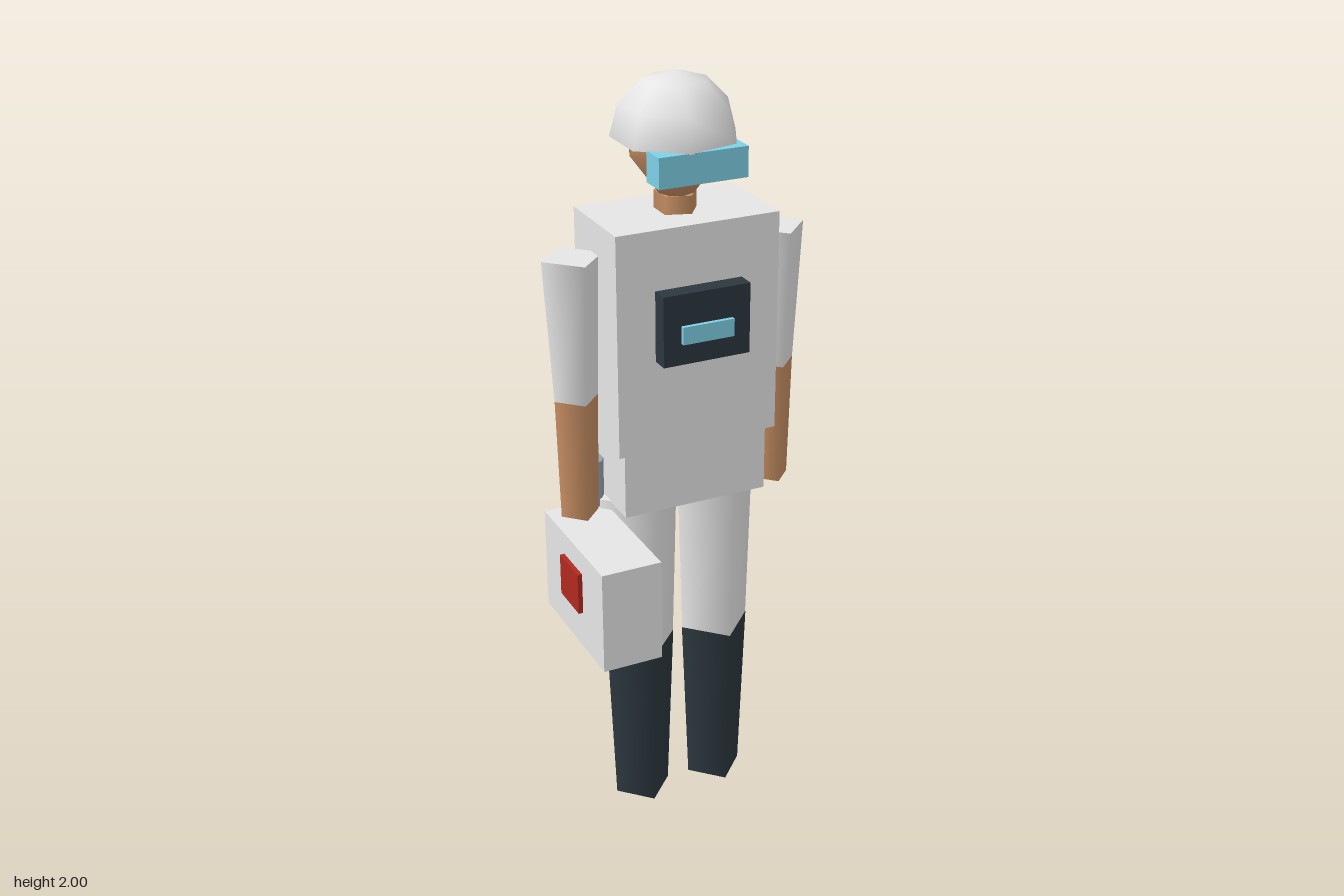
import * as THREE from 'three';

const CX = 0.005, CZ = -0.083; // body axis

function material(name, color, extra = {}) {
  const m = new THREE.MeshStandardMaterial({ color, ...extra });
  m.name = name;
  return m;
}

export function createModel() {
  const white = material('white', 0xe6e6e6);
  const navy = material('navy', 0x2c373e);
  const skin = material('skin', 0xc68e63);
  const cyan = material('cyan', 0x80d4ea);
  const steel = material('steel', 0x98a3ab);
  const red = material('red', 0xb02a20);

  const root = new THREE.Group();
  root.name = 'medic';

  const add = (name, geometry, mat) => {
    const mesh = new THREE.Mesh(geometry, mat);
    mesh.name = name;
    root.add(mesh);
    return mesh;
  };
  // box given by its extents on each axis
  const box = (name, mat, [x0, x1], [y0, y1], [z0, z1]) =>
    add(name, new THREE.BoxGeometry(x1 - x0, y1 - y0, z1 - z0), mat)
      .position.set((x0 + x1) / 2, (y0 + y1) / 2, (z0 + z1) / 2);
  // tapered prism with one corner towards +x
  const prism = (name, mat, sides, x, z, y0, y1, rBottom, rTop) => {
    const mesh = add(name, new THREE.CylinderGeometry(rTop, rBottom, y1 - y0, sides), mat);
    mesh.rotation.y = Math.PI / 2;
    mesh.position.set(x, (y0 + y1) / 2, z);
  };

  // trunk
  box('torso', white, [-0.21, 0.22], [1.095, 1.665], [-0.207, 0.042]);
  box('pelvis', white, [-0.19, 0.2], [0.92, 1.095], [-0.193, 0.028]);
  box('chestPanel', navy, [-0.11, 0.12], [1.335, 1.515], [0.042, 0.088]);
  box('chestDisplay', cyan, [-0.063, 0.073], [1.39, 1.435], [0.088, 0.099]);

  // neck and head
  prism('neck', skin, 5, CX, CZ, 1.66, 1.71, 0.055, 0.055);
  const profile = [[0, 1.69], [0.045, 1.71], [0.12, 1.81], [0.1, 1.865], [0, 1.93]]
    .map(([r, y]) => new THREE.Vector2(r, y));
  add('head', new THREE.LatheGeometry(profile, 8), skin).position.set(CX, 0, CZ);
  box('goggles', cyan, [-0.11, 0.12], [1.77, 1.845], [0, 0.068]);

  // helmet dome and its underside
  const dome = add('helmet',
    new THREE.SphereGeometry(0.158, 7, 3, 0, Math.PI * 2, 0, Math.PI / 2), white);
  dome.rotation.y = Math.PI;
  dome.position.set(CX, 1.843, CZ);
  const under = add('helmetUnderside', new THREE.CircleGeometry(0.158, 7), white);
  under.rotation.x = Math.PI / 2;
  under.position.set(CX, 1.843, CZ);

  // paired limbs and hip canisters
  for (const [side, s] of [['left', 1], ['right', -1]]) {
    const armX = CX + s * 0.273, legX = CX + s * 0.11;
    prism(side + 'Sleeve', white, 4, armX, CZ, 1.22, 1.585, 0.058, 0.079);
    prism(side + 'Forearm', skin, 4, armX, CZ, 0.89, 1.22, 0.05, 0.058);
    prism(side + 'Thigh', white, 4, legX, CZ, 0.48, 0.925, 0.096, 0.108);
    prism(side + 'Boot', navy, 4, legX, CZ, 0, 0.48, 0.078, 0.097);
    prism(side + 'Canister', steel, 5, CX + s * 0.225, -0.136, 0.87, 1.028, 0.05, 0.05);
  }

  // carried case with a side plate
  box('case', white, [-0.346, -0.19], [0.63, 0.9], [-0.13, 0.237]);
  box('casePlate', red, [-0.358, -0.346], [0.73, 0.84], [-0.003, 0.111]);

  return root;
}
